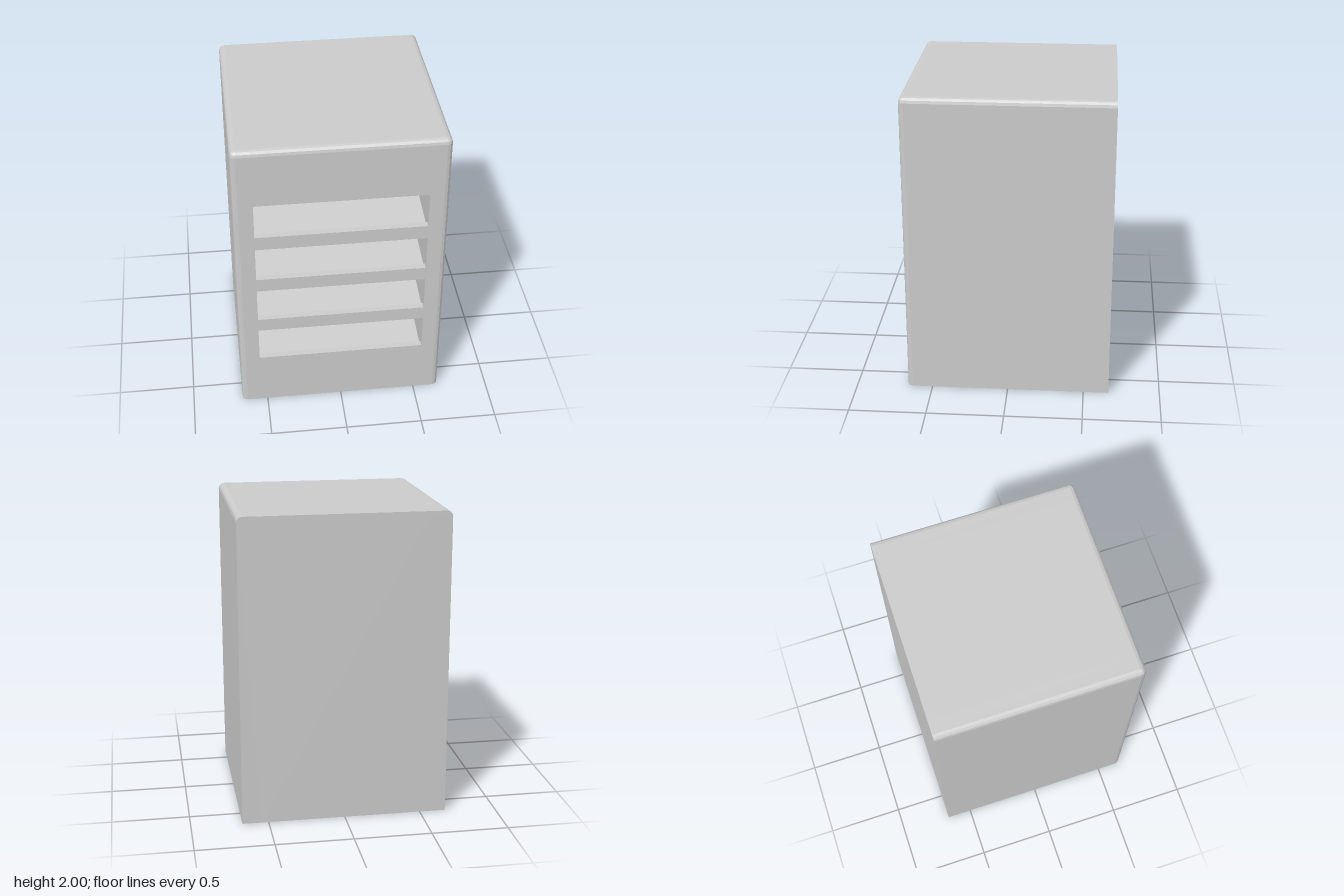
import * as THREE from 'three';

const W = 0.67, F = 0.665, H = 2, B = 0.035; // half width, half depth, height, edge radius
const SLOT = 0.543, SEG = 3;                 // half width of the slots, steps per rounded edge
const slotBottoms = [0.373, 0.705, 1.037, 1.37];

// Side wall lofted from plan outlines, rounded along its front and top edges
function sideWall(sign) {
  const levels = [[0, 0]];
  for (let k = 0; k <= SEG; k++) {
    const a = (k / SEG) * Math.PI / 2;
    levels.push([H - B + B * Math.sin(a), B * (1 - Math.cos(a))]);
  }
  const rings = levels.map(([y, inset]) => {
    const r = B - inset;
    const ring = [[SLOT, -F], [W - inset, -F]];
    for (let k = 0; k <= SEG; k++) {
      const a = (k / SEG) * Math.PI / 2;
      ring.push([W - B + r * Math.cos(a), F - B + r * Math.sin(a)]);
    }
    ring.push([SLOT, F - inset]);
    const points = ring.map(([x, z]) => new THREE.Vector3(sign * x, y, z));
    return sign > 0 ? points : points.reverse();
  });
  const tris = [];
  const n = rings[0].length, top = rings[rings.length - 1], bottom = rings[0];
  for (let j = 0; j < rings.length - 1; j++) {
    for (let i = 0; i < n; i++) {
      const m = (i + 1) % n;
      const a = rings[j][i], b = rings[j][m], c = rings[j + 1][m], d = rings[j + 1][i];
      tris.push(a, c, b, a, d, c);
    }
  }
  for (let i = 1; i < n - 1; i++) {
    tris.push(top[0], top[i + 1], top[i], bottom[0], bottom[i], bottom[i + 1]);
  }
  const geometry = new THREE.BufferGeometry().setFromPoints(tris);
  geometry.computeVertexNormals();
  return geometry;
}

// Middle section: side profile (z, y) with four sloping bays behind a front lip
function shelfCore() {
  const s = new THREE.Shape();
  s.moveTo(-F, 0);
  s.lineTo(F, 0);
  for (const y of slotBottoms) {
    s.lineTo(F, y);
    s.lineTo(F - 0.04, y + 0.002);
    s.lineTo(F - 0.04, y - 0.04);
    s.lineTo(F - 1, y + 0.09);
    s.lineTo(F - 1, y + 0.233);
    s.lineTo(F - 0.04, y + 0.233);
    s.lineTo(F, y + 0.239);
  }
  for (let k = 0; k <= SEG; k++) {
    const a = (k / SEG) * Math.PI / 2;
    s.lineTo(F - B + B * Math.cos(a), H - B + B * Math.sin(a));
  }
  s.lineTo(-F, H);
  s.closePath();
  const geometry = new THREE.ExtrudeGeometry(s, { depth: 2 * SLOT, bevelEnabled: false });
  return geometry.rotateY(-Math.PI / 2).translate(SLOT, 0, 0);
}

export function createModel() {
  const group = new THREE.Group();
  group.name = 'slottedCabinet';
  const material = new THREE.MeshStandardMaterial({ color: 0xcccccc, flatShading: true });
  const add = (name, geometry) => {
    const mesh = new THREE.Mesh(geometry, material);
    mesh.name = name;
    group.add(mesh);
  };
  add('shelfCore', shelfCore());
  add('leftWall', sideWall(1));
  add('rightWall', sideWall(-1));
  return group;
}
